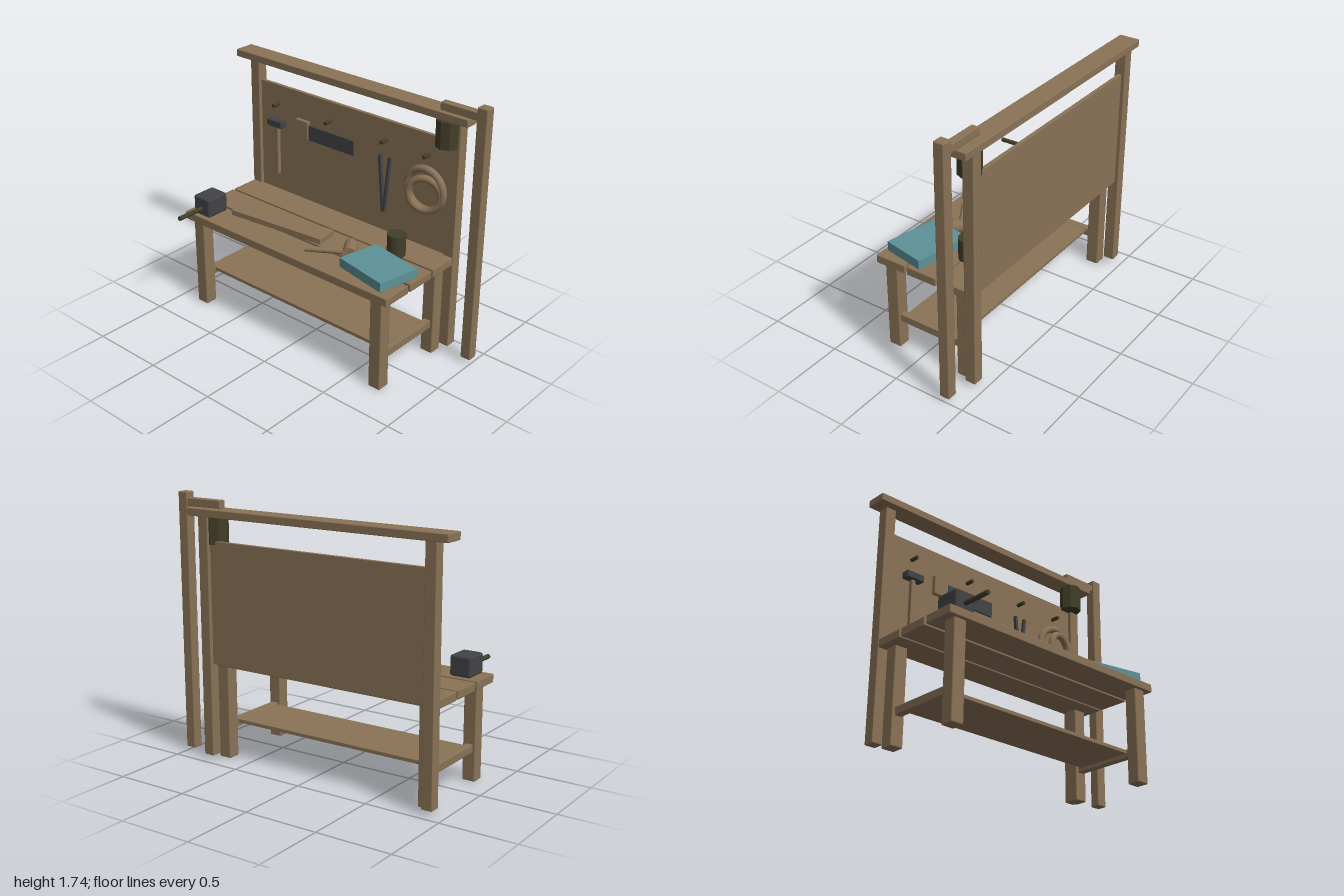
import * as THREE from 'three';
import { RoundedBoxGeometry } from 'three/addons/geometries/RoundedBoxGeometry.js';

const material = (name, color) => {
  const m = new THREE.MeshStandardMaterial({ color });
  m.name = name;
  return m;
};

export function createModel() {
  const model = new THREE.Group();
  model.name = 'workbench';
  const wood = material('wood', 0x8a7357);
  const iron = material('iron', 0x424345);
  const olive = material('olive', 0x423e29);
  const teal = material('teal', 0x5c9298);

  const add = (name, geometry, mat, x, y, z) => {
    const mesh = new THREE.Mesh(geometry, mat);
    mesh.name = name;
    mesh.position.set(x, y, z);
    model.add(mesh);
    return mesh;
  };
  // Softly bevelled box given by its limits on each axis
  const block = (name, mat, [x0, x1], [y0, y1], [z0, z1], bevel = 0.005) =>
    add(name, new RoundedBoxGeometry(x1 - x0, y1 - y0, z1 - z0, 1, bevel), mat,
      (x0 + x1) / 2, (y0 + y1) / 2, (z0 + z1) / 2);
  // Cylinder between two points
  const rod = (name, mat, a, b, radius, sides = 16) => {
    const p = new THREE.Vector3(...a), q = new THREE.Vector3(...b);
    const dir = q.clone().sub(p);
    const mid = p.add(q).multiplyScalar(0.5);
    const mesh = add(name, new THREE.CylinderGeometry(radius, radius, dir.length(), sides), mat, mid.x, mid.y, mid.z);
    mesh.quaternion.setFromUnitVectors(new THREE.Vector3(0, 1, 0), dir.normalize());
    return mesh;
  };

  // Bench top planks
  for (const z of [0.177, -0.055, -0.283])
    block('benchPlank', wood, [-0.92, 0.795], [0.63, 0.685], [z - 0.107, z + 0.107]);

  // Legs, side stretchers and lower shelf
  for (const x of [-0.822, 0.7]) {
    for (const z of [0.217, -0.32])
      block('leg', wood, [x - 0.044, x + 0.044], [0, 0.635], [z - 0.044, z + 0.044], 0.008);
    block('sideStretcher', wood, [x - 0.025, x + 0.025], [0.19, 0.243], [-0.29, 0.19]);
  }
  block('lowerShelf', wood, [-0.8, 0.68], [0.215, 0.24], [-0.25, 0.15], 0.003);

  // Rear posts, top beam, free-standing post and its arm
  for (const x of [-0.887, 0.763])
    block('rearPost', wood, [x - 0.037, x + 0.037], [0.03, 1.605], [-0.45, -0.375]);
  block('topBeam', wood, [-1, 0.88], [1.6, 1.65], [-0.46, -0.32]);
  block('outerPost', wood, [0.928, 1], [0.03, 1.74], [-0.405, -0.335], 0.008);
  block('postArm', wood, [0.665, 0.94], [1.65, 1.702], [-0.398, -0.345]);

  // Tool board with pegs
  block('toolBoard', wood, [-0.855, 0.73], [0.65, 1.448], [-0.425, -0.4], 0.003);
  for (const x of [-0.69, -0.228, 0.235, 0.565])
    rod('peg', olive, [x, 1.315, -0.41], [x, 1.315, -0.34], 0.013, 10);

  // Hanging hammer
  block('hammerHandle', wood, [-0.705, -0.675], [0.805, 1.17], [-0.395, -0.365], 0.004);
  block('hammerHead', iron, [-0.755, -0.625], [1.16, 1.207], [-0.403, -0.345]);

  // Hanging saw
  block('sawBlade', iron, [-0.41, -0.02], [1.133, 1.237], [-0.392, -0.38], 0.002);
  block('sawHandle', wood, [-0.517, -0.408], [1.133, 1.262], [-0.4, -0.37], 0.004);

  // Hanging tongs: two bars leaning together at the bottom
  for (const s of [-1, 1]) {
    const bar = block('tongsBar', iron, [0.227, 0.247], [0.82, 1.215], [-0.395, -0.372], 0.003);
    bar.position.x = 0.237 + s * 0.022;
    bar.rotation.z = -s * 0.092;
  }

  // Coil of rope made of two loops
  add('outerCoil', new THREE.TorusGeometry(0.137, 0.024, 10, 40), wood, 0.565, 1.088, -0.373);
  const inner = add('innerCoil', new THREE.TorusGeometry(0.108, 0.024, 10, 40), wood, 0.583, 1.068, -0.345);
  inner.rotation.y = 0.25;

  // Canister hung under the beam
  const canister = new THREE.CylinderGeometry(0.073, 0.073, 0.175, 8).toNonIndexed();
  canister.computeVertexNormals();
  add('hangingCanister', canister, olive, 0.715, 1.513, -0.365);

  // Vise with its bar
  block('viseBody', iron, [-0.86, -0.717], [0.685, 0.818], [0.09, 0.26], 0.015);
  rod('viseBar', olive, [-0.79, 0.737, 0.24], [-0.79, 0.737, 0.457], 0.015, 12);

  // Loose board on the bench
  const board = block('looseBoard', wood, [-0.655, 0.065], [0.688, 0.727], [-0.07, 0.085], 0.003);
  board.rotation.y = 0.11;

  // Mallet lying on its side
  rod('malletHead', wood, [0.262, 0.73, -0.036], [0.332, 0.73, 0.072], 0.043, 16);
  rod('malletHandle', wood, [0.297, 0.709, 0.018], [0.055, 0.709, 0.17], 0.019, 10);

  // Folded cloth
  const cloth = block('foldedCloth', teal, [0.368, 0.756], [0.69, 0.755], [-0.072, 0.218], 0.003);
  cloth.rotation.y = -0.2;

  // Tin can
  rod('can', olive, [0.5, 0.684, -0.187], [0.5, 0.83, -0.187], 0.06, 24);

  return model;
}
